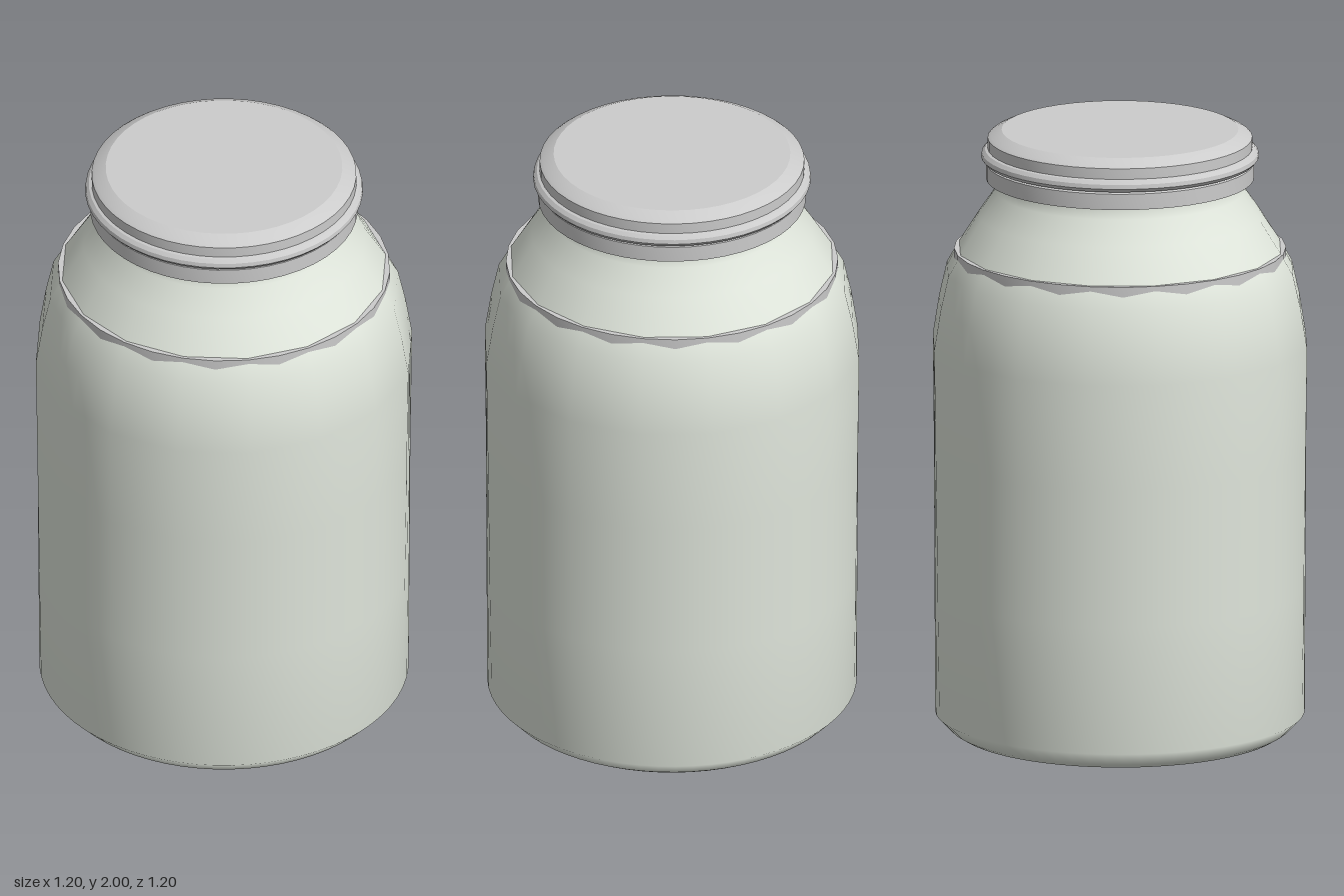
import * as THREE from 'three';
import { toCreasedNormals } from 'three/addons/utils/BufferGeometryUtils.js';

const points = (list) => list.map(([r, y]) => new THREE.Vector2(r, y));

export function createModel() {
  const jar = new THREE.Group();
  jar.name = 'jar';
  const glass = new THREE.MeshStandardMaterial({ color: 0xe0e6dc, side: THREE.DoubleSide });
  const metal = new THREE.MeshStandardMaterial({ color: 0xcccccc, side: THREE.DoubleSide });

  const add = (name, geometry, material) => {
    const mesh = new THREE.Mesh(geometry, material);
    mesh.name = name;
    jar.add(mesh);
    return mesh;
  };
  const turned = (list, segments) =>
    toCreasedNormals(new THREE.LatheGeometry(points(list), segments).toNonIndexed(), 0.4);

  // Body: round at the base and neck, sixteen flat sides at the shoulder
  const body = new THREE.LatheGeometry(points([
    [0.525, 0.02], [0.55, 0.035], [0.593, 0.08], [0.599, 0.5], [0.605, 0.95], [0.61, 1.3],
    [0.589, 1.43], [0.564, 1.54], [0.524, 1.61], [0.455, 1.72], [0.4, 1.8], [0.388, 1.84], [0.388, 1.9],
  ]), 64);
  const step = Math.PI / 8;
  const pos = body.attributes.position;
  for (let i = 0; i < pos.count; i++) {
    const x = pos.getX(i), y = pos.getY(i), z = pos.getZ(i);
    const angle = Math.atan2(x, z);
    const offset = angle - Math.round(angle / step) * step;
    const polygon = Math.cos(step / 2) / Math.cos(offset);
    const amount = y < 1.3 ? Math.max(0, (y - 0.08) / 1.22) : THREE.MathUtils.clamp((1.84 - y) / 0.23, 0, 1);
    const k = THREE.MathUtils.lerp(1, polygon, amount);
    pos.setXYZ(i, x * k, y, z * k);
  }
  add('body', body, glass);

  // Flat base with small moulded bumps
  const base = add('base', new THREE.CircleGeometry(0.525, 64), glass);
  base.rotation.x = Math.PI / 2;
  base.position.y = 0.02;
  for (const [x, z] of [[0, -0.42], [-0.35, -0.31], [-0.41, 0.07], [-0.25, 0.35], [0.42, 0.06]]) {
    const bump = add('baseBump', new THREE.SphereGeometry(0.022, 12, 8), glass);
    bump.scale.y = 0.5;
    bump.position.set(x, 0.011, z);
  }

  // Band around the shoulder
  add('shoulderBand', turned([[0.5, 1.54], [0.533, 1.54], [0.533, 1.61], [0.5, 1.61]], 32), metal);

  // Screw lid: skirt, rolled bead, crown and chamfered top
  add('lid', turned([
    [0.385, 1.84], [0.43, 1.84], [0.43, 1.892], [0.422, 1.897], [0.436, 1.9], [0.446, 1.912],
    [0.444, 1.926], [0.434, 1.937], [0.425, 1.94], [0.425, 1.975], [0.415, 1.983], [0.38, 2], [0, 2],
  ], 48), metal);

  return jar;
}
